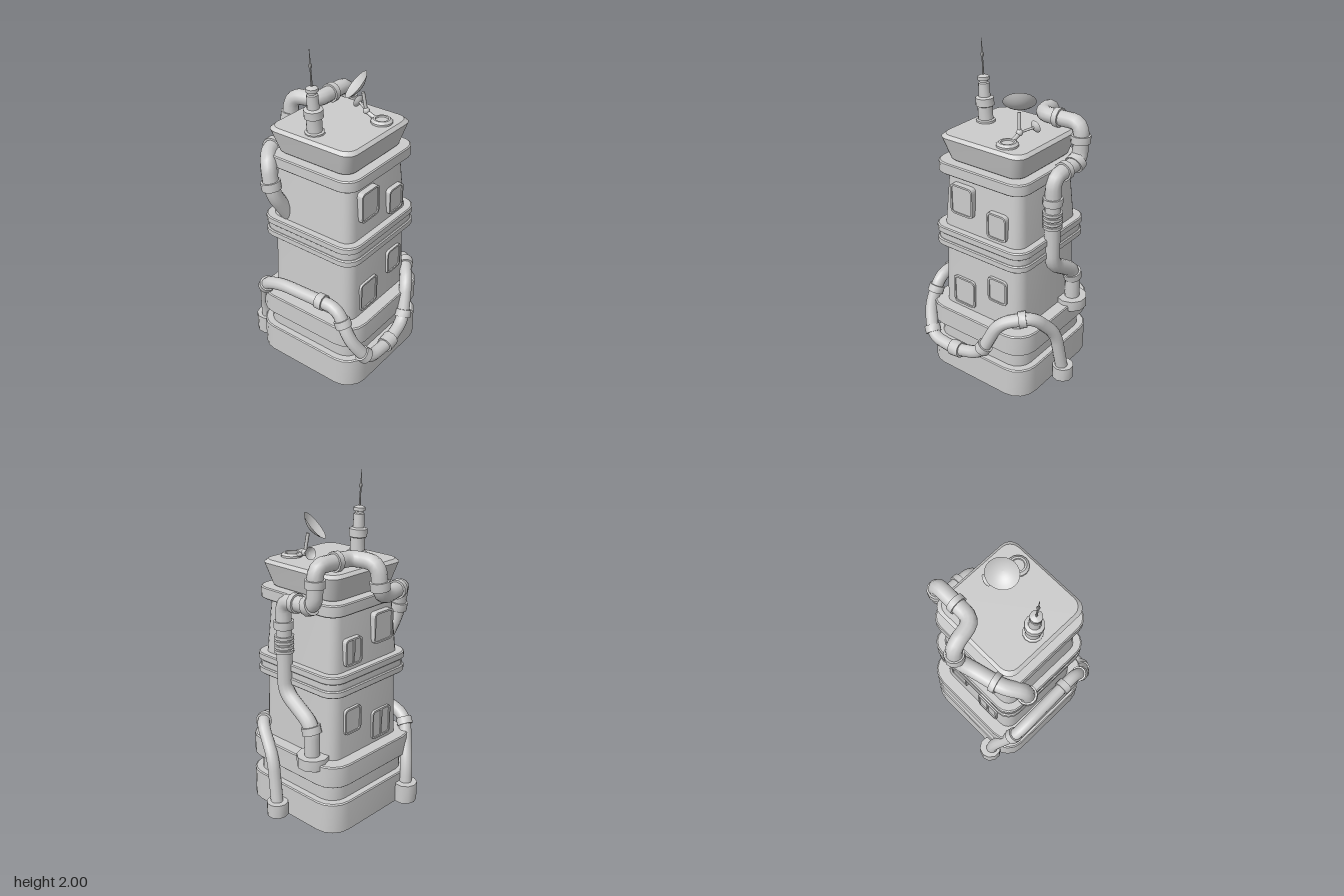
import * as THREE from 'three';
import { toCreasedNormals } from 'three/addons/utils/BufferGeometryUtils.js';

const V = (x, y, z) => new THREE.Vector3(x, y, z);
const UP = V(0, 1, 0);
const grey = new THREE.MeshStandardMaterial({ color: 0xcccccc });
const greyThin = new THREE.MeshStandardMaterial({ color: 0xcccccc, side: THREE.DoubleSide });
const CX = -0.04; // tower axis

function add(parent, geometry, name, material = grey) {
  const mesh = new THREE.Mesh(geometry, material);
  mesh.name = name;
  parent.add(mesh);
  return mesh;
}

// Square block with rounded corners, lofted through [halfWidth, y] rings
function block(profile, radius) {
  const pos = [], idx = [], seg = 4, n = 4 * (seg + 1);
  for (const [h, y] of profile) {
    for (let c = 0; c < 4; c++) {
      const mid = Math.PI / 4 + c * Math.PI / 2, r = radius;
      const cx = Math.sign(Math.cos(mid)) * (h - r), cz = Math.sign(Math.sin(mid)) * (h - r);
      for (let i = 0; i <= seg; i++) {
        const a = (c + i / seg) * Math.PI / 2;
        pos.push(cx + r * Math.cos(a), y, cz + r * Math.sin(a));
      }
    }
  }
  const rows = profile.length;
  for (let j = 0; j < rows - 1; j++) for (let i = 0; i < n; i++) {
    const a = j * n + i, b = j * n + (i + 1) % n;
    idx.push(a, a + n, b, b, a + n, b + n);
  }
  const lo = rows * n, hi = lo + 1, last = (rows - 1) * n;
  pos.push(0, profile[0][1], 0, 0, profile[rows - 1][1], 0);
  for (let i = 0; i < n; i++) {
    const k = (i + 1) % n;
    idx.push(lo, i, k, hi, last + k, last + i);
  }
  const g = new THREE.BufferGeometry();
  g.setAttribute('position', new THREE.Float32BufferAttribute(pos, 3));
  g.setIndex(idx);
  return toCreasedNormals(g, 0.5);
}

function roundRect(target, w, h, r) {
  const x = w / 2, y = h / 2;
  target.moveTo(-x + r, -y);
  target.lineTo(x - r, -y).quadraticCurveTo(x, -y, x, -y + r);
  target.lineTo(x, y - r).quadraticCurveTo(x, y, x - r, y);
  target.lineTo(-x + r, y).quadraticCurveTo(-x, y, -x, y - r);
  target.lineTo(-x, -y + r).quadraticCurveTo(-x, -y, -x + r, -y);
  return target;
}

function makeWindow(w, h, mullion) {
  const g = new THREE.Group();
  g.name = 'window';
  const shape = roundRect(new THREE.Shape(), w, h, 0.028);
  shape.holes.push(roundRect(new THREE.Path(), w - 0.022, h - 0.022, 0.02));
  add(g, new THREE.ExtrudeGeometry(shape, { depth: 0.06, bevelEnabled: false, curveSegments: 4 }), 'windowFrame');
  const pane = roundRect(new THREE.Shape(), w - 0.018, h - 0.018, 0.02);
  add(g, new THREE.ExtrudeGeometry(pane, { depth: 0.053, bevelEnabled: false, curveSegments: 4 }), 'windowPane');
  if (mullion) add(g, new THREE.BoxGeometry(0.012, h - 0.02, 0.06), 'windowMullion').position.z = 0.03;
  return g;
}

// Straight runs joined by rounded elbows
function pipePath(points, bend) {
  const p = points.map(a => V(...a)), path = new THREE.CurvePath();
  let from = p[0];
  for (let i = 1; i < p.length - 1; i++) {
    const before = p[i - 1].distanceTo(p[i]), after = p[i].distanceTo(p[i + 1]);
    const d = Math.min(bend, before * 0.45, after * 0.45);
    const a = p[i].clone().lerp(p[i - 1], d / before), b = p[i].clone().lerp(p[i + 1], d / after);
    path.add(new THREE.LineCurve3(from, a));
    path.add(new THREE.QuadraticBezierCurve3(a, p[i], b));
    from = b;
  }
  path.add(new THREE.LineCurve3(from, p[p.length - 1]));
  return path;
}

// Pipe with sleeves set at the path points nearest to the given positions
function makePipe(parent, name, points, radius, sleeves) {
  const g = new THREE.Group();
  g.name = name;
  parent.add(g);
  const path = pipePath(points, 0.07);
  add(g, new THREE.TubeGeometry(path, 110, radius, 12), 'pipe', greyThin);
  for (const [x, y, z, length = 0.045, extra = 0.011] of sleeves) {
    const target = V(x, y, z);
    let best = 0, min = Infinity;
    for (let i = 0; i <= 300; i++) {
      const d = path.getPointAt(i / 300).distanceTo(target);
      if (d < min) { min = d; best = i / 300; }
    }
    const r = radius + extra;
    const ring = add(g, toCreasedNormals(new THREE.CylinderGeometry(r, r, length, 12), 0.7), 'pipeSleeve');
    ring.position.copy(path.getPointAt(best));
    ring.quaternion.setFromUnitVectors(UP, path.getTangentAt(best));
  }
  return g;
}

function makeFoot(parent, x, y, z, r, h) {
  add(parent, toCreasedNormals(new THREE.CylinderGeometry(r, r, h, 10), 0.7), 'pipeFoot').position.set(x, y, z);
}

function lathe(points, sides = 14) {
  return toCreasedNormals(new THREE.LatheGeometry(points.map(p => new THREE.Vector2(...p)), sides), 0.6);
}

function strut(parent, a, b, r, name) {
  const p = V(...a), q = V(...b);
  const m = add(parent, new THREE.CylinderGeometry(r, r, p.distanceTo(q), 8), name);
  m.position.copy(p).lerp(q, 0.5);
  m.quaternion.setFromUnitVectors(UP, q.sub(p).normalize());
}

function makeDish(parent, name, radius, depth, position, normal) {
  const pts = [];
  for (let i = 0; i <= 6; i++) pts.push([radius * i / 6 + 0.0001, depth * ((i / 6) ** 2 - 1)]);
  const dish = add(parent, new THREE.LatheGeometry(pts.map(p => new THREE.Vector2(...p)), 24), name, greyThin);
  dish.position.set(...position);
  dish.quaternion.setFromUnitVectors(UP, V(...normal).normalize());
}

export function createModel() {
  const model = new THREE.Group();
  model.name = 'pipedTower';

  // Tower storeys: name, bottom y, top y, half width below and above, corner radius, edge bevel
  const tower = new THREE.Group();
  tower.name = 'tower';
  tower.position.x = CX;
  model.add(tower);
  const storeys = [
    ['base', 0, 0.195, 0.373, 0.373, 0.13, 0.006],
    ['plinth', 0.19, 0.305, 0.33, 0.33, 0.1, 0.004],
    ['plinthBand', 0.30, 0.435, 0.37, 0.37, 0.13, 0.006],
    ['lowerStorey', 0.43, 0.85, 0.293, 0.283, 0.07, 0.003],
    ['middleBandLower', 0.84, 0.883, 0.33, 0.33, 0.09, 0.006],
    ['middleBandCore', 0.88, 0.925, 0.32, 0.32, 0.085, 0.003],
    ['middleBandUpper', 0.922, 0.967, 0.33, 0.33, 0.09, 0.006],
    ['upperStorey', 0.96, 1.31, 0.286, 0.262, 0.065, 0.003],
    ['topBand', 1.30, 1.37, 0.311, 0.311, 0.085, 0.006],
    ['roofCap', 1.36, 1.525, 0.255, 0.29, 0.065, 0.018],
  ];
  for (const [name, y0, y1, h0, h1, r, b] of storeys)
    add(tower, block([[h0 - b, y0], [h0, y0 + b], [h1, y1 - b], [h1 - b, y1]], r), name);

  // Windows on front and back; two of the back ones are split
  const windows = [
    [-0.155, 1.16, 0.16, 0.185, false], [0.094, 1.075, 0.135, 0.16, true],
    [0.094, 0.655, 0.135, 0.16, false], [-0.155, 0.552, 0.16, 0.185, true],
  ];
  for (const [x, y, w, h, split] of windows) for (const side of [1, -1]) {
    const win = makeWindow(w, h, split && side < 0);
    win.position.set(x, y, side * 0.243);
    if (side < 0) win.rotation.y = Math.PI;
    model.add(win);
  }

  // Low hose wrapping the front from the back corner to the right foot
  makePipe(model, 'lowerHose', [
    [-0.28, 0.05, -0.405], [-0.3, 0.24, -0.39], [-0.395, 0.5, -0.29], [-0.4, 0.55, -0.16],
    [-0.39, 0.56, 0.25], [-0.4, 0.38, 0.345], [-0.32, 0.225, 0.42], [-0.13, 0.215, 0.425],
    [0.05, 0.26, 0.41], [0.15, 0.49, 0.36], [0.31, 0.53, 0.24], [0.365, 0.36, 0.09], [0.387, 0.05, 0.035],
  ], 0.038, [
    [-0.39, 0.48, -0.3], [-0.39, 0.56, 0.14], [-0.395, 0.48, 0.29], [-0.34, 0.26, 0.4],
    [-0.125, 0.215, 0.425, 0.07], [0.07, 0.3, 0.4], [0.26, 0.52, 0.28],
  ]);
  makeFoot(model, -0.28, 0.075, -0.405, 0.07, 0.12);
  makeFoot(model, 0.388, 0.062, 0.035, 0.065, 0.085);

  // High pipe: up the right wall, over the roof, round the back, into the left wall
  makePipe(model, 'upperPipe', [
    [0.3, 0.43, -0.175], [0.3, 0.65, -0.175], [0.295, 0.79, 0.045], [0.295, 1.34, 0.05],
    [0.3, 1.355, -0.2], [0.3, 1.58, -0.205], [0.02, 1.575, -0.205], [-0.01, 1.57, -0.37],
    [-0.02, 1.4, -0.385], [-0.12, 1.36, -0.345], [-0.3, 1.36, -0.3], [-0.385, 1.33, -0.23],
    [-0.395, 1.16, -0.2], [-0.29, 0.99, -0.18],
  ], 0.046, [
    [0.3, 0.62, -0.17], [0.295, 1.2, 0.05], [0.3, 1.35, -0.05, 0.035], [0.3, 1.34, -0.17],
    [0.3, 1.49, -0.205], [0.145, 1.575, -0.205, 0.035], [-0.015, 1.45, -0.38, 0.05],
    [-0.25, 1.36, -0.315, 0.035], [-0.395, 1.21, -0.205, 0.05],
    ...[0, 1, 2, 3].map(i => [0.295, 1.04 + i * 0.028, 0.05, 0.017]),
  ]);
  makeFoot(model, 0.295, 0.433, -0.175, 0.095, 0.066);

  // Slightly leaning antenna
  const antenna = new THREE.Group();
  antenna.name = 'antenna';
  antenna.position.set(-0.23, 1.515, -0.02);
  antenna.rotation.set(-0.01, 0, 0.055);
  model.add(antenna);
  add(antenna, lathe([[0, 0], [0.056, 0], [0.056, 0.02], [0.044, 0.025], [0.044, 0.1], [0.054, 0.105],
    [0.054, 0.15], [0.034, 0.157], [0.032, 0.235], [0.024, 0.24], [0.024, 0.25], [0.034, 0.253],
    [0.034, 0.272], [0.012, 0.282], [0, 0.282]], 12), 'antennaMast');
  add(antenna, lathe([[0, 0.27], [0.006, 0.28], [0.004, 0.38], [0.01, 0.39], [0.01, 0.4],
    [0.004, 0.41], [0.0015, 0.485], [0, 0.486]], 8), 'antennaWhip');

  // Satellite dish on a bent arm
  const dish = new THREE.Group();
  dish.name = 'satelliteDish';
  model.add(dish);
  add(dish, lathe([[0, 0], [0.062, 0], [0.062, 0.016], [0.048, 0.028], [0.037, 0.028], [0.035, 0.02], [0, 0.02]], 16),
    'dishMount').position.set(0.09, 1.52, 0.19);
  strut(dish, [0.09, 1.535, 0.15], [0.09, 1.56, 0.085], 0.012, 'dishArm');
  add(dish, new THREE.SphereGeometry(0.02, 10, 8), 'dishJoint').position.set(0.09, 1.565, 0.085);
  strut(dish, [0.09, 1.56, 0.085], [0.078, 1.675, 0.07], 0.01, 'dishMast');
  makeDish(dish, 'largeDish', 0.092, 0.035, [0.055, 1.72, 0.038], [-0.46, 0.65, -0.61]);
  strut(dish, [0.09, 1.565, 0.085], [0.13, 1.58, 0.01], 0.007, 'smallDishArm');
  makeDish(dish, 'smallDish', 0.036, 0.016, [0.133, 1.582, -0.005], [0.15, 0.2, -1]);

  return model;
}
